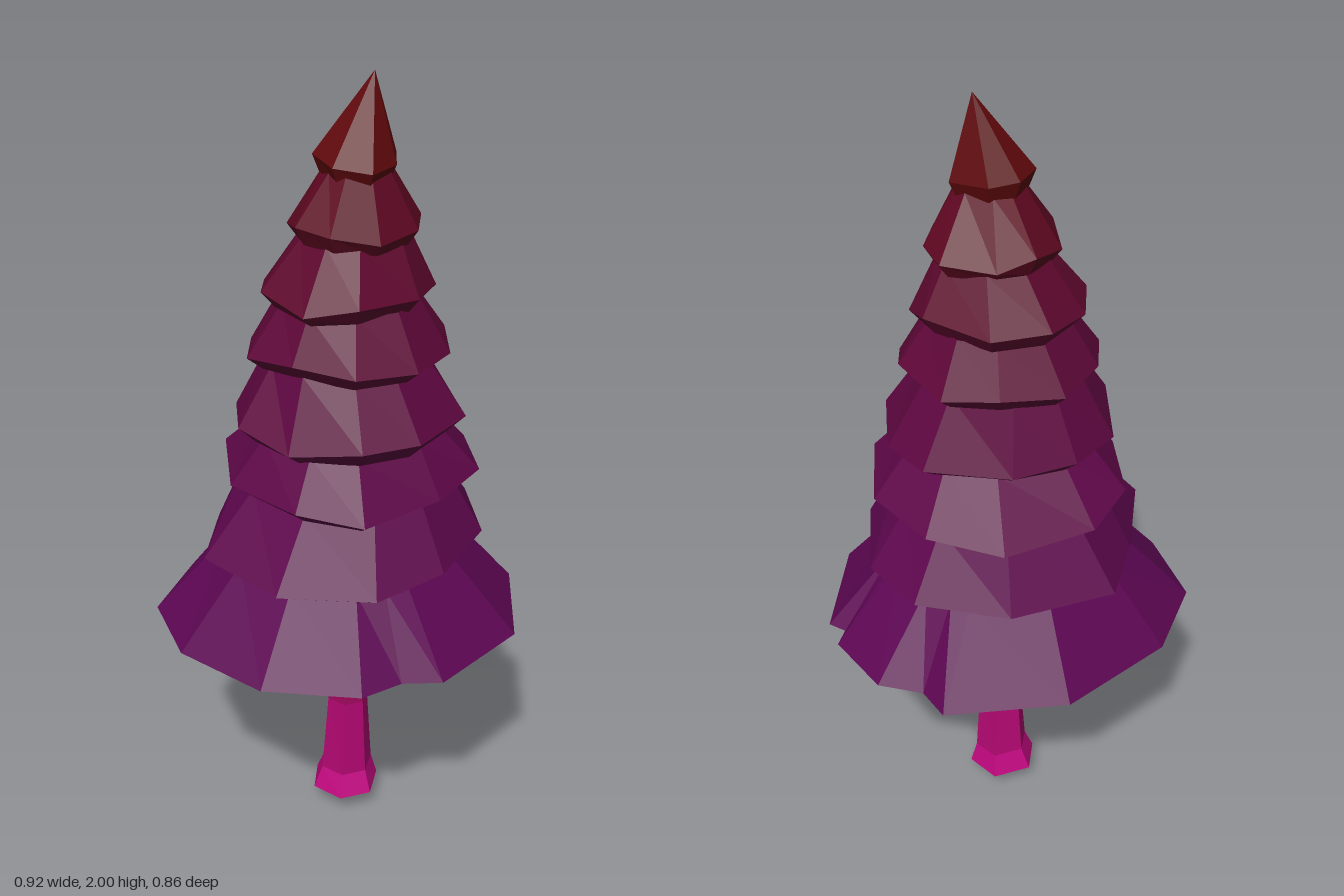
import * as THREE from 'three';

// Small seeded generator for the hand-cut irregularity
function seeded(seed) {
  let s = seed;
  return () => (s = (s * 16807) % 2147483647) / 2147483647;
}

// Faceted skin through equal-length rings of points, listed along the surface from below
function loft(rings, color, name) {
  const pos = [];
  const tri = (...pts) => pts.forEach(p => pos.push(p.x, p.y, p.z));
  for (let i = 0; i < rings.length - 1; i++) {
    const low = rings[i], up = rings[i + 1], n = low.length;
    for (let j = 0; j < n; j++) {
      const k = (j + 1) % n;
      if (up[j].distanceTo(up[k]) > 1e-6) tri(low[j], up[j], up[k]);
      if (low[j].distanceTo(low[k]) > 1e-6) tri(low[j], up[k], low[k]);
    }
  }
  const geo = new THREE.BufferGeometry();
  geo.setAttribute('position', new THREE.Float32BufferAttribute(pos, 3));
  geo.computeVertexNormals();
  const mesh = new THREE.Mesh(geo, new THREE.MeshStandardMaterial({ color, flatShading: true }));
  mesh.name = name;
  return mesh;
}

// Ring from unit-outline points: scaled, centred and set at a height
const place = (outline, x, z, rx, rz, y, wobble = 0) =>
  outline.map(p => new THREE.Vector3(x + p.x * rx, y + p.dy * wobble, z + p.z * rz));

function unitOutline(n, turn, rand, amount) {
  return Array.from({ length: n }, (_, j) => {
    const a = turn + (j + (rand() - 0.5) * amount * 4) / n * Math.PI * 2;
    const r = 1 + (rand() - 0.5) * amount;
    return { x: Math.cos(a) * r, z: Math.sin(a) * r, dy: rand() - 0.5 };
  });
}

// Bough tiers: min x, max x, min z, max z, rim height
const TIERS = [
  [-0.46, 0.455, -0.43, 0.43, 0.64],
  [-0.37, 0.355, -0.355, 0.36, 0.865],
  [-0.31, 0.32, -0.33, 0.34, 1.05],
  [-0.275, 0.28, -0.245, 0.295, 1.19],
  [-0.24, 0.235, -0.22, 0.25, 1.37],
  [-0.2, 0.21, -0.19, 0.22, 1.51],
  [-0.145, 0.175, -0.13, 0.175, 1.66],
  [-0.085, 0.11, -0.055, 0.14, 1.815],
].map(([x0, x1, z0, z1, y]) => ({ x: (x0 + x1) / 2, z: (z0 + z1) / 2, rx: (x1 - x0) / 2, rz: (z1 - z0) / 2, y }));

// Bottom rim, with its nicks
const SKIRT = [
  [0.02, -0.43], [0.31, -0.34], [0.325, -0.25], [0.415, -0.18], [0.455, 0], [0.422, 0.04], [0.45, 0.08],
  [0.31, 0.33], [0.05, 0.43], [-0.04, 0.39], [-0.15, 0.4], [-0.35, 0.27], [-0.46, 0.04], [-0.44, -0.18], [-0.28, -0.34],
].map(([x, z]) => ({ x: x / 0.4575, z: z / 0.43, dy: 0 }));

export function createModel() {
  const group = new THREE.Group();
  group.name = 'stylisedConifer';
  const rand = seeded(4217);
  const lowColor = new THREE.Color(0x5e0754), highColor = new THREE.Color(0x60080c);

  // Overlapping bough tiers
  TIERS.forEach((t, i) => {
    const next = TIERS[i + 1];
    let outline = SKIRT;
    if (i > 0) {
      const n = i < 5 ? 10 : i < 7 ? 9 : 7;
      outline = unitOutline(n, i * 1.9, rand, 0.08);
      // One torn nick per tier
      const nick = outline[(i * 3) % n];
      nick.x *= 0.9;
      nick.z *= 0.9;
    }
    const smooth = outline.map(p => {
      const l = Math.hypot(p.x, p.z);
      return { x: p.x / l, z: p.z / l, dy: 0 };
    });
    const inner = i ? place(smooth, t.x, t.z, t.rx * 0.68, t.rz * 0.68, t.y - 0.03)
      : place(smooth, 0, 0.01, 0.25, 0.25, 0.595);
    const lip = place(outline, t.x, t.z, t.rx * 0.85, t.rz * 0.85, t.y - 0.037, 0.015);
    const rim = place(outline, t.x, t.z, t.rx * 1.005, t.rz * 1.005, t.y, 0.035);
    const top = next
      ? place(smooth, next.x, next.z, next.rx * 0.8, next.rz * 0.8, next.y - 0.024)
      : place(smooth, 0.05, 0.047, 0, 0, 2);
    const color = lowColor.clone().lerp(highColor, i / (TIERS.length - 1));
    group.add(loft([inner, lip, rim, top], color, `boughTier${i + 1}`));
  });

  // Shallow dished underskirt beneath the lowest tier
  const under = unitOutline(9, 0.3, rand, 0.06);
  const ring = (r, y, wobble = 0) => place(under, -0.005, 0.01, r, r, y, wobble);
  group.add(loft([ring(0.21, 0.6), ring(0.245, 0.57, 0.015), ring(0.285, 0.605)], 0x45086a, 'underskirt'));
  group.add(loft([ring(0, 0.585), ring(0.21, 0.6)], 0x4a0838, 'underskirtCentre'));

  // Six-sided trunk with a flared, pointed foot
  const six = unitOutline(6, 0.08, rand, 0.05);
  const foot = place(six, 0.002, 0, 0.09, 0.095, 0.06);
  const ankle = place(six, 0.006, 0, 0.07, 0.07, 0.12);
  const waist = place(six, 0.004, 0.01, 0.054, 0.057, 0.35);
  const neck = place(six, 0, 0.018, 0.042, 0.047, 0.62);
  group.add(loft([place(six, 0, 0.015, 0, 0, 0), foot, ankle], 0xc0087f, 'trunkFoot'));
  group.add(loft([ankle, waist], 0xb40873, 'trunkLower'));
  group.add(loft([waist, neck], 0xa40860, 'trunkUpper'));

  return group;
}
